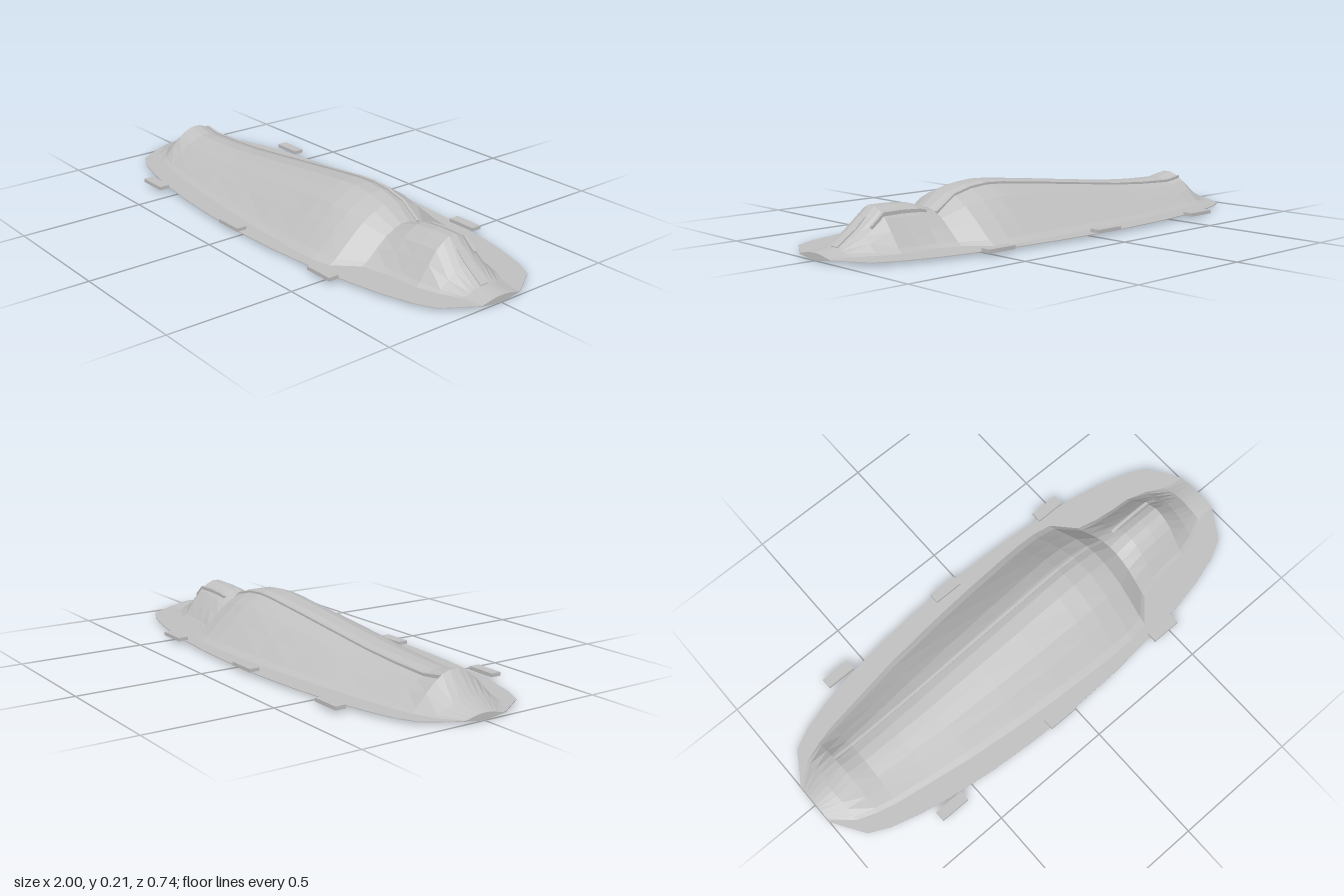
import * as THREE from 'three';

// Stations along the length: x, crest height, half width at the foot
const STATIONS = [
  [-1, 0.027, 0.08], [-0.92, 0.06, 0.15], [-0.84, 0.138, 0.18], [-0.76, 0.121, 0.2],
  [-0.6, 0.125, 0.225], [-0.44, 0.135, 0.25], [-0.2, 0.161, 0.275], [0, 0.183, 0.29],
  [0.2, 0.204, 0.3], [0.28, 0.208, 0.302], [0.36, 0.201, 0.3], [0.44, 0.181, 0.285],
  [0.52, 0.13, 0.2], [0.6, 0.154, 0.18], [0.68, 0.162, 0.17], [0.76, 0.163, 0.165],
  [0.84, 0.09, 0.14], [0.92, 0.035, 0.1], [1, 0.027, 0.09],
];
// Bell-shaped half section: share of half width, share of height
const BELL = [[1, 0], [0.9, 0.1], [0.66, 0.46], [0.46, 0.74], [0.27, 0.91], [0.1, 1]];
const SECTION = [...BELL, ...BELL.map(([w, h]) => [-w, h]).reverse()];
const DECK = 0.014;

// Plan outline: x, half width
const OUTLINE = [
  [-1, 0.09], [-0.92, 0.215], [-0.84, 0.255], [-0.72, 0.29], [-0.6, 0.315], [-0.4, 0.342],
  [-0.2, 0.357], [0, 0.362], [0.2, 0.357], [0.4, 0.342], [0.6, 0.315], [0.72, 0.29],
  [0.84, 0.255], [0.92, 0.215], [1, 0.09],
];

// Joins equal-sized rings of points, listed from +z over the top to -z
function loft(rings, closed, caps) {
  const n = rings[0].length, index = [];
  const steps = closed ? n : n - 1;
  for (let i = 0; i < rings.length - 1; i++) {
    for (let j = 0; j < steps; j++) {
      const a = i * n + j, b = i * n + (j + 1) % n;
      index.push(a, a + n, b, b, a + n, b + n);
    }
  }
  if (caps) {
    const last = (rings.length - 1) * n;
    for (let j = 1; j < n - 1; j++) {
      index.push(0, j, j + 1, last, last + j + 1, last + j);
    }
  }
  const g = new THREE.BufferGeometry();
  g.setAttribute('position', new THREE.Float32BufferAttribute(rings.flat(2), 3));
  g.setIndex(index);
  const flat = g.toNonIndexed();
  flat.computeVertexNormals();
  return flat;
}

function interpolate(points, x, column) {
  for (let i = 0; i < points.length - 1; i++) {
    const a = points[i], b = points[i + 1];
    if (x <= b[0]) return a[column] + (b[column] - a[column]) * (x - a[0]) / (b[0] - a[0]);
  }
  return points[points.length - 1][column];
}

// Height of the body surface above any plan position
function surfaceY(x, z) {
  const crest = interpolate(STATIONS, x, 1), half = interpolate(STATIONS, x, 2);
  const profile = [[0, 1], ...[...BELL].reverse()];
  return DECK + (crest - DECK) * interpolate(profile, Math.abs(z) / half, 1);
}

export function createModel() {
  const group = new THREE.Group();
  const grey = new THREE.MeshStandardMaterial({ color: 0xc0c0c0 });
  grey.name = 'light grey';
  grey.flatShading = true;
  const add = (name, geometry) => {
    const mesh = new THREE.Mesh(geometry, grey);
    mesh.name = name;
    group.add(mesh);
    return mesh;
  };

  // Thin oval base with a shallow keel
  add('base', loft(OUTLINE.map(([x, w]) => [
    [x, 0.011, w], [x, DECK, w], [x, DECK, -w], [x, 0.011, -w], [x, 0, 0],
  ]), true, true));

  // Humped body with raised ends
  add('body', loft(STATIONS.map(([x, h, w]) =>
    SECTION.map(([s, t]) => [x, DECK + (h - DECK) * t, w * s])), true, true));

  // Narrow raised strip along one side of the crest
  const strip = (name, x0, x1, z0, z1) => {
    const xs = [x0, ...STATIONS.map((s) => s[0]).filter((x) => x > x0 && x < x1), x1];
    add(name, loft(xs.map((x) => {
      const a = surfaceY(x, z0), b = surfaceY(x, z1), top = Math.max(a, b) + 0.004;
      return [[x, a - 0.006, z0], [x, top, z0], [x, top, z1], [x, b - 0.006, z1]];
    }), true, true));
  };
  strip('longStrip', -0.84, 0.52, -0.056, -0.068);
  strip('shortStrip', 0.57, 0.81, -0.056, -0.068);

  // Low ridge down the short end
  strip('endRidge', 0.8, 0.92, 0.018, -0.018);

  // Three blocks along each edge
  for (const side of [1, -1]) {
    for (const x of [-0.613, -0.067, 0.48]) {
      const block = add(side > 0 ? 'leftEdgeBlock' : 'rightEdgeBlock',
        new THREE.BoxGeometry(0.122, 0.014, 0.042));
      block.position.set(x, 0.02, side * 0.347);
    }
  }
  return group;
}
